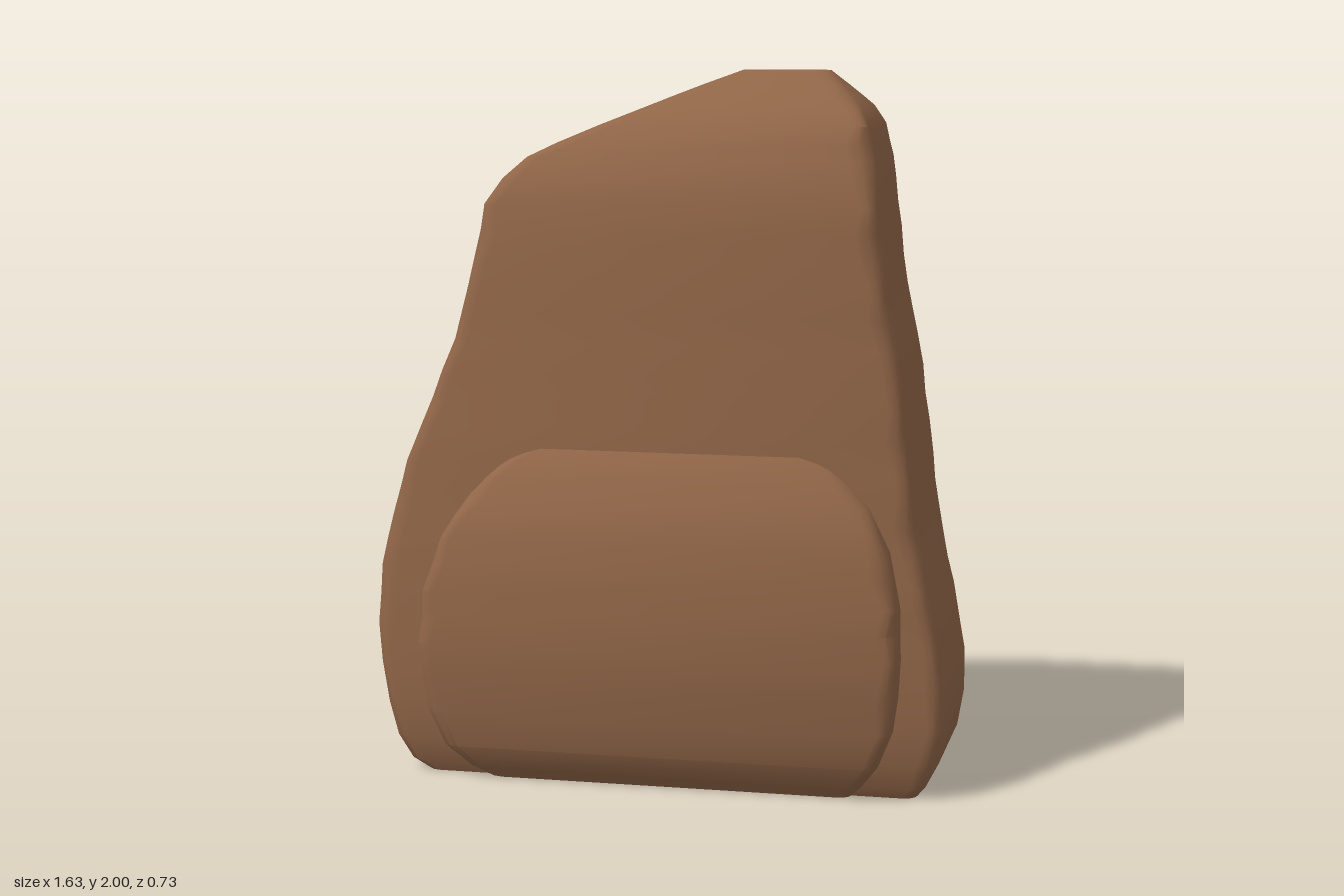
import * as THREE from 'three';
import { toCreasedNormals } from 'three/addons/utils/BufferGeometryUtils.js';

// Small seeded generator for the chipped edges
function makeRandom(seed) {
  return () => {
    seed = (seed * 16807) % 2147483647;
    return seed / 2147483647;
  };
}

// Piecewise linear lookup of a [y, value] profile
function sample(profile, y) {
  for (let i = 1; i < profile.length; i++) {
    const [y0, v0] = profile[i - 1], [y1, v1] = profile[i];
    if (y <= y1) return v0 + (v1 - v0) * Math.max(0, (y - y0) / (y1 - y0));
  }
  return profile[profile.length - 1][1];
}

// Rounded rectangle section at height y, with slightly uneven corners
const STEPS = 3;
function section(p, y, radius, rand) {
  const x0 = sample(p.left, y), x1 = sample(p.right, y);
  const z0 = sample(p.back, y), z1 = sample(p.front, y);
  const corners = [[x1, z1, 1, 1], [x0, z1, -1, 1], [x0, z0, -1, -1], [x1, z0, 1, -1]];
  const limit = 0.45 * Math.min(x1 - x0, z1 - z0);
  const ring = [];
  corners.forEach(([x, z, sx, sz], k) => {
    const r = Math.min(limit, radius * (0.75 + 0.6 * rand()));
    for (let s = 0; s <= STEPS; s++) {
      const a = (k + s / STEPS) * Math.PI / 2;
      ring.push([x - sx * r + r * Math.cos(a), y, z - sz * r + r * Math.sin(a)]);
    }
  });
  return ring;
}

// Closed fan over a ring, facing up or down
function fan(ring, up, out) {
  const c = [0, 1, 2].map(i => ring.reduce((s, p) => s + p[i], 0) / ring.length);
  ring.forEach((a, i) => {
    const b = ring[(i + 1) % ring.length];
    out.push(...c, ...(up ? b : a), ...(up ? a : b));
  });
}

function geometryFrom(positions) {
  const g = new THREE.BufferGeometry();
  g.setAttribute('position', new THREE.Float32BufferAttribute(positions, 3));
  return toCreasedNormals(g, 0.55);
}

// Stack of sections: brown skin with a top, and a separate flat underside
function loft(profile, levels, radius, seed) {
  const rand = makeRandom(seed);
  const rings = levels.map(y => section(profile, y, radius, rand));
  const skin = [], under = [];
  for (let j = 0; j + 1 < rings.length; j++) {
    const low = rings[j], high = rings[j + 1];
    low.forEach((a, i) => {
      const n = (i + 1) % low.length;
      skin.push(...a, ...high[i], ...low[n], ...low[n], ...high[i], ...high[n]);
    });
  }
  fan(rings[rings.length - 1], true, skin);
  fan(rings[0], false, under);
  return { skin: geometryFrom(skin), under: geometryFrom(under) };
}

export function createModel() {
  const brown = new THREE.MeshStandardMaterial({ color: 0x916648 });
  brown.name = 'earthBrown';
  const grey = new THREE.MeshStandardMaterial({ color: 0xc8c6c4 });
  grey.name = 'paleGrey';
  const model = new THREE.Group();
  model.name = 'rock';

  const add = (name, parts) => {
    const group = new THREE.Group();
    group.name = name;
    const skin = new THREE.Mesh(parts.skin, brown);
    skin.name = name + 'Surface';
    const under = new THREE.Mesh(parts.under, grey);
    under.name = name + 'Underside';
    group.add(skin, under);
    model.add(group);
  };

  // Tall slab with a slanted, rounded crest
  const slab = {
    left: [[0, -0.68], [0.03, -0.73], [0.1, -0.77], [0.2, -0.79], [0.43, -0.82], [0.6, -0.81], [0.75, -0.775],
      [0.9, -0.73], [1, -0.69], [1.25, -0.59], [1.4, -0.55], [1.63, -0.505], [1.7, -0.46], [1.76, -0.39],
      [1.8, -0.31], [1.85, -0.19], [1.9, -0.07], [1.95, 0.05], [2, 0.18]],
    right: [[0, 0.74], [0.05, 0.78], [0.1, 0.8], [0.2, 0.815], [0.35, 0.815], [0.5, 0.785], [0.75, 0.735],
      [1, 0.705], [1.2, 0.68], [1.4, 0.64], [1.6, 0.615], [1.75, 0.595], [1.85, 0.57], [1.9, 0.54],
      [1.95, 0.49], [2, 0.43]],
    front: [[0, 0.24], [0.05, 0.265], [0.2, 0.28], [0.6, 0.275], [1, 0.26], [1.3, 0.248], [1.55, 0.235],
      [1.7, 0.21], [1.8, 0.17], [1.85, 0.145], [1.9, 0.1], [1.95, 0.03], [2, -0.06]],
    back: [[0, -0.26], [0.1, -0.285], [0.3, -0.295], [0.6, -0.285], [1, -0.273], [1.3, -0.26], [1.55, -0.25],
      [1.75, -0.265], [1.85, -0.265], [1.92, -0.23], [1.97, -0.18], [2, -0.14]],
  };
  const slabLevels = [0, 0.03, 0.1, 0.2, 0.32, 0.43, 0.52, 0.6, 0.68, 0.76, 0.83, 0.9, 1, 1.08, 1.16, 1.25,
    1.33, 1.4, 1.48, 1.56, 1.63, 1.7, 1.76, 1.8, 1.85, 1.9, 1.93, 1.96, 1.985, 2];
  add('slab', loft(slab, slabLevels, 0.05, 17));

  // Low bulge running through the slab, showing at front and back
  const bulgeDepth = [[0, 0.27], [0.03, 0.295], [0.1, 0.335], [0.2, 0.35], [0.4, 0.367], [0.6, 0.358],
    [0.75, 0.335], [0.85, 0.305], [0.92, 0.278], [0.975, 0.25]];
  const bulge = {
    left: [[0, -0.5], [0.03, -0.54], [0.1, -0.605], [0.2, -0.65], [0.4, -0.67], [0.55, -0.655], [0.7, -0.605],
      [0.82, -0.53], [0.92, -0.43], [0.975, -0.33]],
    right: [[0, 0.56], [0.03, 0.59], [0.1, 0.64], [0.2, 0.68], [0.35, 0.7], [0.55, 0.695], [0.7, 0.665],
      [0.82, 0.605], [0.92, 0.51], [0.975, 0.43]],
    front: bulgeDepth,
    back: bulgeDepth.map(([y, z]) => [y, -z]),
  };
  const bulgeLevels = [0, 0.03, 0.1, 0.2, 0.3, 0.4, 0.48, 0.55, 0.63, 0.7, 0.76, 0.82, 0.87, 0.92, 0.95, 0.975];
  add('bulge', loft(bulge, bulgeLevels, 0.045, 53));

  return model;
}
